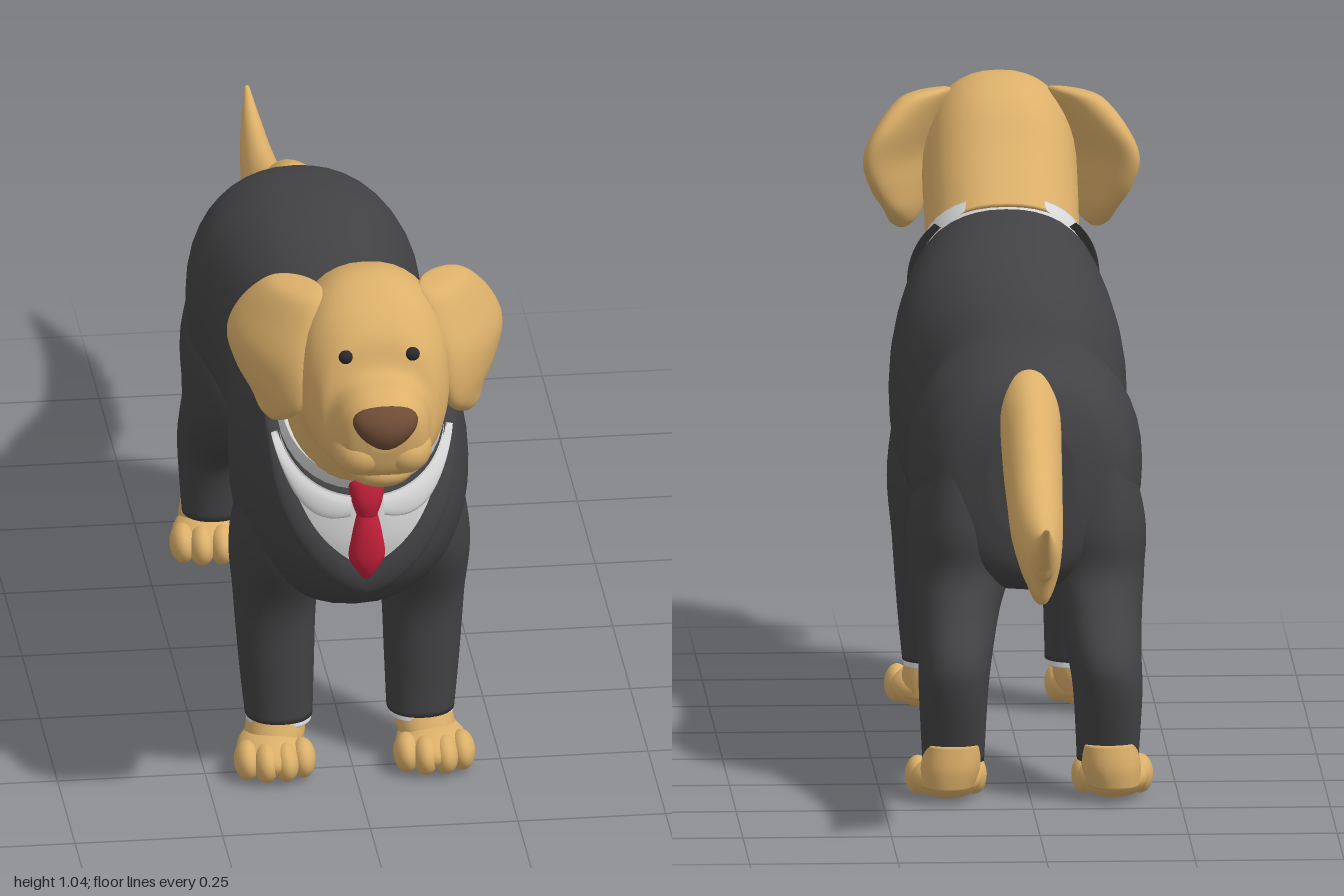
import * as THREE from 'three';
import { mergeVertices } from 'three/addons/utils/BufferGeometryUtils.js';

const mat = (name, color, side = THREE.FrontSide) => {
  const m = new THREE.MeshStandardMaterial({ color, side });
  m.name = name;
  return m;
};

// Smooth welded surface from fn(a, b), a and b in 0..1
function grid(fn, na, nb) {
  const pos = [], idx = [];
  for (let i = 0; i <= na; i++)
    for (let j = 0; j <= nb; j++) pos.push(...fn(i / na, j / nb).toArray());
  for (let i = 0; i < na; i++)
    for (let j = 0; j < nb; j++) {
      const a = i * (nb + 1) + j, d = a + nb + 1;
      idx.push(a, a + 1, d + 1, a, d + 1, d);
    }
  let g = new THREE.BufferGeometry();
  g.setAttribute('position', new THREE.Float32BufferAttribute(pos, 3));
  g.setIndex(idx);
  g = mergeVertices(g, 1e-5);
  g.computeVertexNormals();
  return g;
}

// Catmull-Rom interpolation along a list of sections
function sample(rows, u) {
  const n = rows.length - 1, i = Math.min(Math.floor(u), n - 1), f = u - i;
  const at = k => rows[Math.max(0, Math.min(n, k))];
  return rows[i].map((_, k) => {
    const [a, b, c, d] = [at(i - 1)[k], at(i)[k], at(i + 1)[k], at(i + 2)[k]];
    return b + 0.5 * f * (c - a + f * (2 * a - 5 * b + 4 * c - d + f * (3 * (b - c) + d - a)));
  });
}

const bend = (v, e) => Math.sign(v) * Math.pow(Math.abs(v), 2 / e);

// Section: [top y, top z, bottom y, bottom z, half width, centre x]
function surface(rows, e = 2.2) {
  return (u, t) => {
    const [yt, zt, yb, zb, r, cx] = sample(rows.map(s => [...s.slice(0, 5), s[5] ?? 0]), u);
    const c = bend(Math.cos(t), e), s = bend(Math.sin(t), e);
    return new THREE.Vector3(cx + r * c, (yt + yb) / 2 + s * (yt - yb) / 2, (zt + zb) / 2 + s * (zt - zb) / 2);
  };
}

// Closed tube over a surface, capped at both ends
function loft(rows, S = surface(rows), per = 6, around = 40) {
  const n = rows.length - 1, na = n * per + 2;
  return grid((a, b) => {
    const k = Math.round(a * na), t = b * Math.PI * 2;
    const u = Math.max(0, Math.min(n, (k - 1) / per));
    if (k === 0 || k === na) return S(u, 0).add(S(u, Math.PI)).multiplyScalar(0.5);
    return S(u, t);
  }, na, around);
}

// Point on a surface pushed outward
function raised(S, u, t, off) {
  const c = S(u, 0).add(S(u, Math.PI)).multiplyScalar(0.5), d = S(u, t).sub(c);
  return c.add(d.multiplyScalar(1 + off / d.length()));
}

function ball(x, y, z, rx, ry, rz) {
  return new THREE.SphereGeometry(1, 24, 16).scale(rx, ry, rz).translate(x, y, z);
}

function mirrored(geo) {
  const g = geo.clone().scale(-1, 1, 1), ix = g.index;
  for (let i = 0; i < ix.count; i += 3) {
    const a = ix.getX(i);
    ix.setX(i, ix.getX(i + 2));
    ix.setX(i + 2, a);
  }
  g.computeVertexNormals();
  return g;
}

export function createModel() {
  const fur = mat('golden fur', 0xdcb06a);
  const suit = mat('charcoal suit', 0x424244, THREE.DoubleSide);
  const white = mat('white shirt', 0xdadada, THREE.DoubleSide);
  const red = mat('red tie', 0xc4203a);
  const brown = mat('brown nose', 0x6e4c36);
  const dark = mat('dark eye', 0x2a2a2c);

  const root = new THREE.Group();
  root.name = 'dogInSuit';
  const add = (name, geo, m) => {
    const mesh = new THREE.Mesh(geo, m);
    mesh.name = name;
    root.add(mesh);
  };
  const pair = (name, geo, m) => {
    add(name + 'Left', geo, m);
    add(name + 'Right', mirrored(geo), m);
  };

  // Jacket body, rump to collar
  const bodyRows = [
    [.64, -.405, .45, -.405, .07], [.705, -.37, .38, -.39, .14], [.735, -.31, .345, -.33, .18],
    [.75, -.2, .335, -.2, .197], [.75, -.1, .35, -.1, .182], [.742, .05, .34, .05, .168],
    [.745, .2, .295, .2, .176], [.765, .32, .285, .32, .19], [.79, .4, .29, .45, .2],
    [.815, .45, .33, .56, .195], [.835, .48, .4, .665, .18], [.845, .493, .5, .7, .162],
    [.845, .5, .6, .7, .138],
  ];
  const body = surface(bodyRows);
  add('jacketBody', loft(bodyRows, body), suit);

  // Shirt front in the V of the jacket
  add('shirtFront', grid((a, b) => {
    const u = 10.65 + a * 1.35;
    return raised(body, u, -Math.PI / 2 + (b * 2 - 1) * (u - 10.65), .005);
  }, 24, 32), white);

  // Raised lapels beside the V
  pair('lapel', grid((a, b) => {
    const tau = a * 2.3, top = Math.min(12, 10.65 + tau);
    const off = .003 + .016 * Math.sqrt(Math.max(0, Math.sin(Math.PI * b)));
    return raised(body, top - .62 * (1 - a ** 4) * (1 - b), -Math.PI / 2 + tau, off);
  }, 32, 12), suit);

  // Shirt collar band and folded leaves
  add('collarBand', loft([[.83, .488, .6, .692, .142], [.85, .502, .62, .706, .142], [.866, .516, .638, .716, .138]]), white);
  pair('collarLeaf', grid((a, b) => {
    const tau = .15 + a * 1.2, drop = .55 * Math.sin(Math.PI * Math.min(1, .25 + a * .75));
    return raised(body, 12 - drop * b, -Math.PI / 2 + tau, .008 + .012 * Math.sqrt(Math.max(0, Math.sin(Math.PI * b))));
  }, 16, 10), white);

  // Tie: knot and blade
  add('tieKnot', loft([[.638, .705, .638, .67, .022], [.625, .718, .625, .67, .031], [.59, .724, .59, .67, .027], [.562, .718, .562, .67, .019]]), red);
  add('tieBlade', loft([[.57, .716, .57, .67, .018], [.53, .722, .53, .67, .026], [.485, .72, .485, .66, .032], [.455, .71, .455, .65, .02], [.435, .695, .435, .65, .004]]), red);

  // Neck, skull and muzzle
  const headRows = [
    [.85, .5, .62, .705, .132], [.895, .545, .655, .73, .13], [.94, .59, .69, .75, .13],
    [.99, .635, .705, .79, .13], [1.02, .68, .712, .82, .13], [1.037, .75, .712, .85, .128],
    [1.02, .81, .712, .87, .12], [.97, .865, .714, .89, .102], [.915, .89, .72, .91, .086],
    [.9, .935, .735, .935, .076], [.888, .965, .76, .957, .06], [.865, .978, .8, .97, .03],
  ];
  const head = surface(headRows, 2.3);
  add('headAndNeck', loft(headRows, head), fur);
  pair('upperLip', ball(.038, .785, .915, .046, .044, .055), fur);
  add('lowerJaw', ball(0, .742, .895, .058, .032, .055), fur);

  // Nose, narrower toward the bottom
  const nose = ball(0, 0, 0, .053, .04, .036), np = nose.attributes.position;
  for (let i = 0; i < np.count; i++) np.setX(i, np.getX(i) * (1 + np.getY(i) * 8));
  nose.computeVertexNormals();
  add('nose', nose.translate(0, .845, .964), brown);

  const eye = head(7.3, 1.0);
  pair('eye', ball(eye.x, eye.y, eye.z, .012, .012, .01), dark);

  // Ears: [y, back x, back z, front x, front z, half thickness]
  const earRows = [
    [1.012, .125, .7, .09, .74, .008], [1, .165, .675, .085, .78, .03], [.95, .207, .65, .1, .805, .035],
    [.9, .226, .65, .115, .82, .035], [.85, .213, .665, .12, .825, .032], [.81, .19, .69, .13, .815, .025],
    [.785, .18, .72, .143, .785, .018], [.772, .17, .745, .155, .76, .006],
  ];
  pair('ear', loft(earRows, (u, t) => {
    const [y, xo, zo, xi, zi, h] = sample(earRows, u);
    const ax = (xo - xi) / 2, az = (zo - zi) / 2, l = Math.hypot(ax, az) || 1;
    const c = Math.cos(t), s = Math.sin(t) * h / l;
    return new THREE.Vector3((xo + xi) / 2 + ax * c - az * s, y, (zo + zi) / 2 + az * c + ax * s);
  }), fur);

  // Sleeves and trouser legs
  pair('frontSleeve', loft([
    [.56, .6, .6, .4, .05, .125], [.42, .58, .42, .33, .082, .12], [.3, .525, .3, .355, .07, .125],
    [.18, .515, .18, .375, .063, .123], [.088, .511, .088, .393, .057, .12],
  ]), suit);
  pair('shirtCuff', loft([[.092, .506, .092, .397, .054, .12], [.078, .508, .078, .396, .055, .12]]), white);
  pair('hindTrouser', loft([
    [.6, -.17, .6, -.38, .05, .115], [.46, -.1, .46, -.4, .086, .113], [.36, -.105, .38, -.395, .085, .113],
    [.29, -.16, .32, -.43, .072, .12], [.225, -.26, .25, -.485, .062, .126],
    [.17, -.325, .19, -.487, .058, .13], [.068, -.345, .068, -.45, .052, .13],
  ]), suit);

  // Paws: ankle, pad and four toes
  const paw = (name, x, z, ankle, len) => {
    pair(name + 'Ankle', loft([[.1, z + .012, .1, z - .085, .046, ankle], [.06, z + .03, .06, z - .09, .05, ankle + .005], [.025, z + .04, .025, z - .085, .045, x]]), fur);
    pair(name + 'Pad', ball(x, .036, z, .06, .036, len), fur);
    [-.047, -.017, .017, .047].forEach((dx, i) => {
      const outer = i === 0 || i === 3;
      pair(name + 'Toe' + (i + 1), ball(x + dx, .033, z + (outer ? .035 : .05), .022, .033, .04), fur);
    });
  };
  paw('frontPaw', .135, .49, .122, .085);
  paw('hindPaw', .14, -.38, .13, .072);

  // Tail with a feathered underside
  const tailRows = [
    [.568, -1, .562, -.998, .004], [.548, -.93, .49, -.94, .018], [.54, -.85, .44, -.87, .028],
    [.547, -.75, .43, -.77, .036], [.575, -.64, .435, -.64, .044], [.625, -.55, .462, -.55, .047],
    [.68, -.46, .505, -.46, .05], [.715, -.38, .58, -.4, .05], [.722, -.34, .64, -.34, .036], [.69, -.3, .65, -.3, .01],
  ];
  const tail = surface(tailRows, 2);
  add('tail', loft(tailRows, (u, t) => {
    const p = tail(u, t), low = Math.max(0, -Math.sin(t)) ** 3;
    const tooth = (((-p.z * 11) % 1) + 1) % 1;
    if (p.z < -.45 && p.z > -.93) p.y -= .03 * low * (tooth < .8 ? tooth / .8 : (1 - tooth) / .2);
    return p;
  }, 14), fur);

  return root;
}
